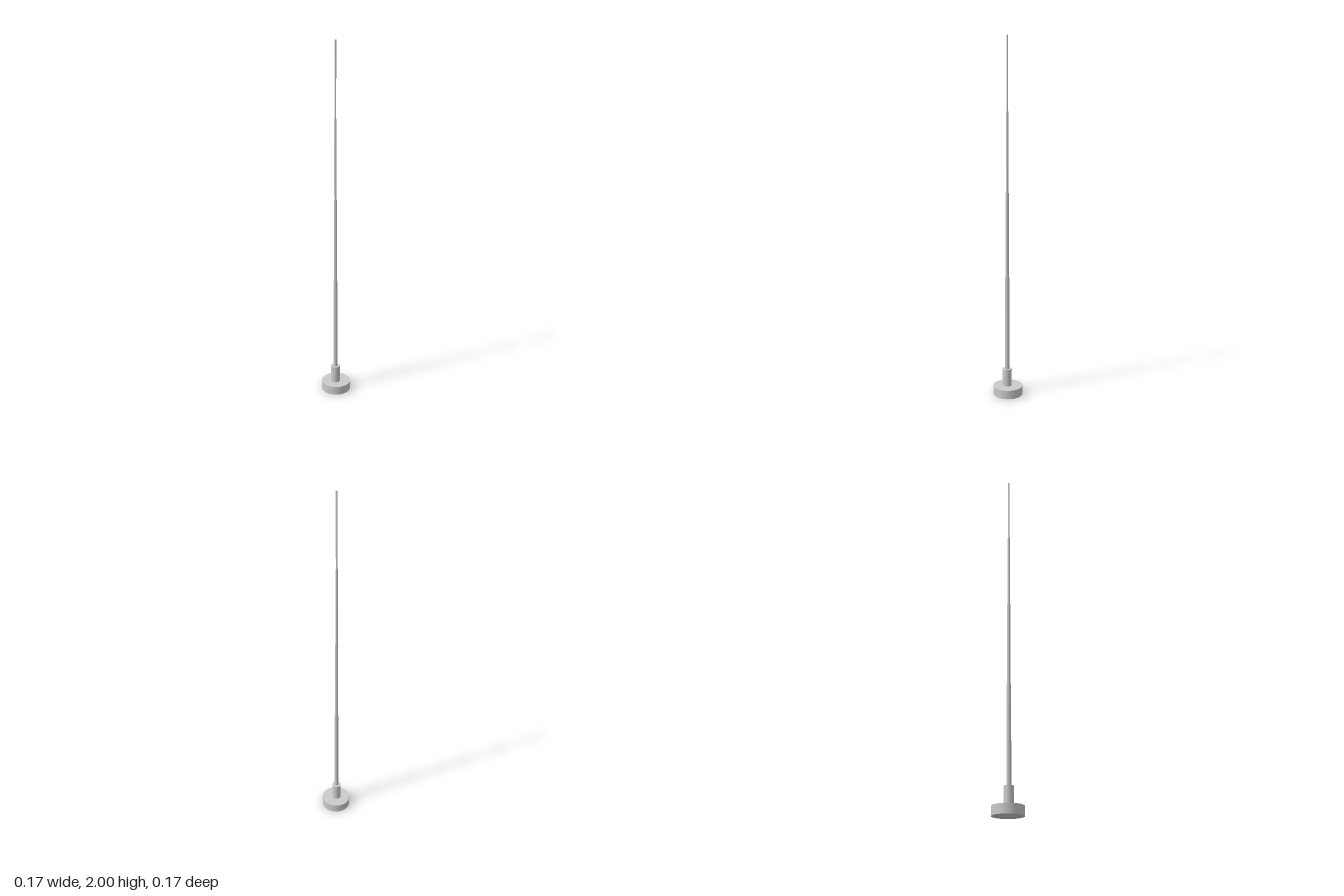
import * as THREE from 'three';

export function createModel() {
  const model = new THREE.Group();
  const material = new THREE.MeshStandardMaterial({ color: 0xcccccc });

  // Upright cylinder between two heights
  function cylinder(name, radius, bottom, top, parent) {
    const geometry = new THREE.CylinderGeometry(radius, radius, top - bottom, 32);
    const mesh = new THREE.Mesh(geometry, material);
    mesh.name = name;
    mesh.position.y = (bottom + top) / 2;
    parent.add(mesh);
  }

  // Round foot
  cylinder('base', 0.0838, 0, 0.05, model);

  // Mast sits slightly off the centre of the foot
  const mast = new THREE.Group();
  mast.name = 'mast';
  mast.position.set(-0.003, 0, 0.004);
  model.add(mast);
  cylinder('collar', 0.026, 0.05, 0.148, mast);

  // Telescopic sections, each thinner than the one below: radius, bottom, top
  const sections = [
    [0.0122, 0.148, 0.685],
    [0.0092, 0.685, 1.16],
    [0.0066, 1.16, 1.6],
    [0.0042, 1.6, 2],
  ];
  sections.forEach(([radius, bottom, top], i) =>
    cylinder(`rodSection${i + 1}`, radius, bottom, top, mast));

  return model;
}
